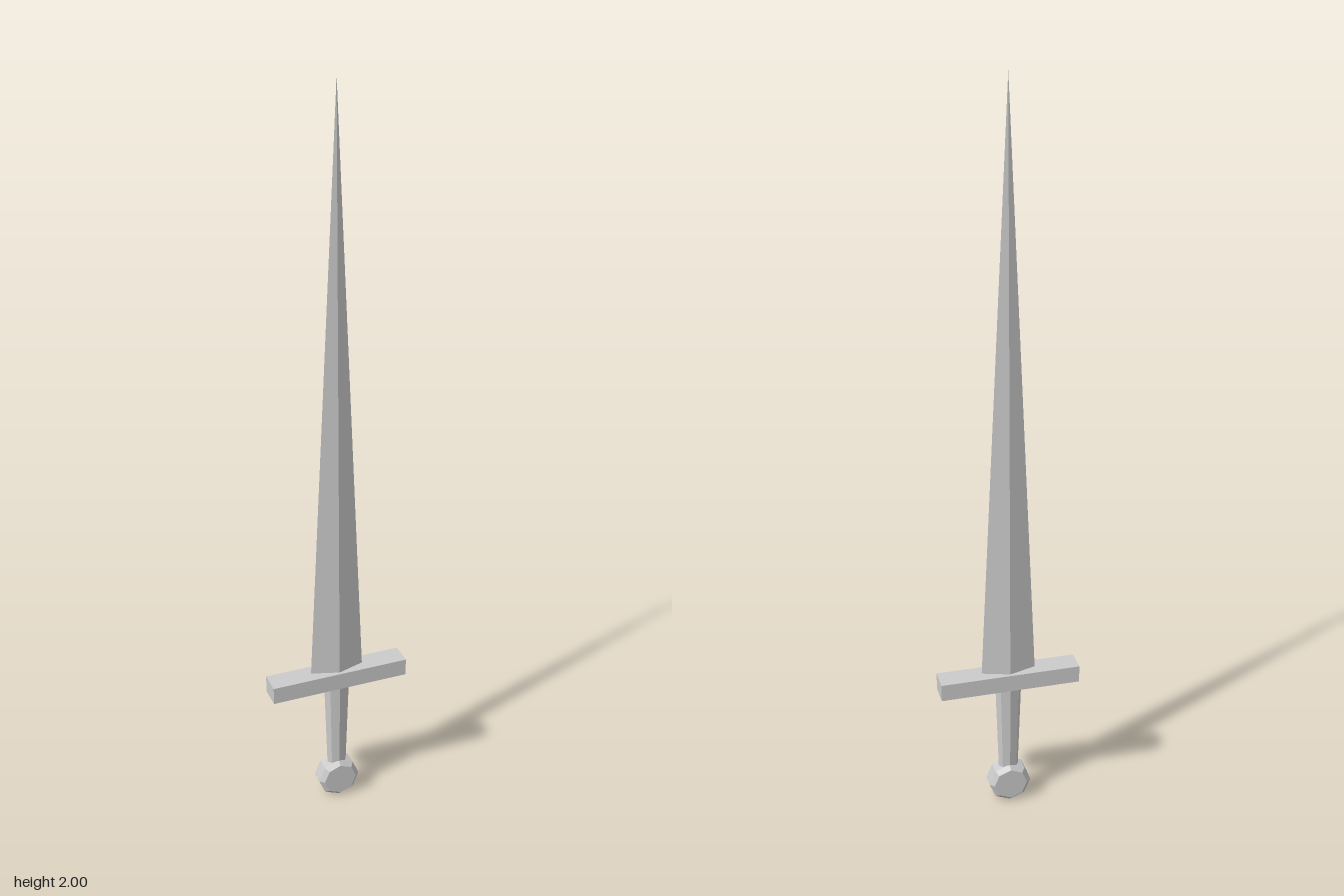
import * as THREE from 'three';

const material = new THREE.MeshStandardMaterial({ color: 0xcccccc, flatShading: true });

function part(name, geometry, y) {
  const mesh = new THREE.Mesh(geometry, material);
  mesh.name = name;
  mesh.position.y = y;
  return mesh;
}

export function createModel() {
  const group = new THREE.Group();
  group.name = 'sword';

  // Blade: a diamond section tapering to a point
  const bladeBase = 0.4, bladeLength = 1.6;
  const blade = new THREE.ConeGeometry(1, bladeLength, 4).scale(0.074, 1, 0.023);
  group.add(part('blade', blade, bladeBase + bladeLength / 2));

  // Crossguard: plain bar
  group.add(part('crossguard', new THREE.BoxGeometry(0.38, 0.048, 0.062), 0.389));

  // Grip: eight sides, slightly flattened, narrowing downward
  const grip = new THREE.CylinderGeometry(0.036, 0.027, 0.27, 8).scale(1, 1, 0.75);
  group.add(part('grip', grip, 0.235));

  // Pommel: octagonal disc with bevelled rims, facing front and back
  const profile = [[0, -0.03], [0.046, -0.03], [0.058, -0.019], [0.058, 0.019], [0.046, 0.03], [0, 0.03]]
    .map(([r, h]) => new THREE.Vector2(r, h));
  const pommel = new THREE.LatheGeometry(profile, 8).rotateX(Math.PI / 2);
  group.add(part('pommel', pommel, 0.058));

  return group;
}
